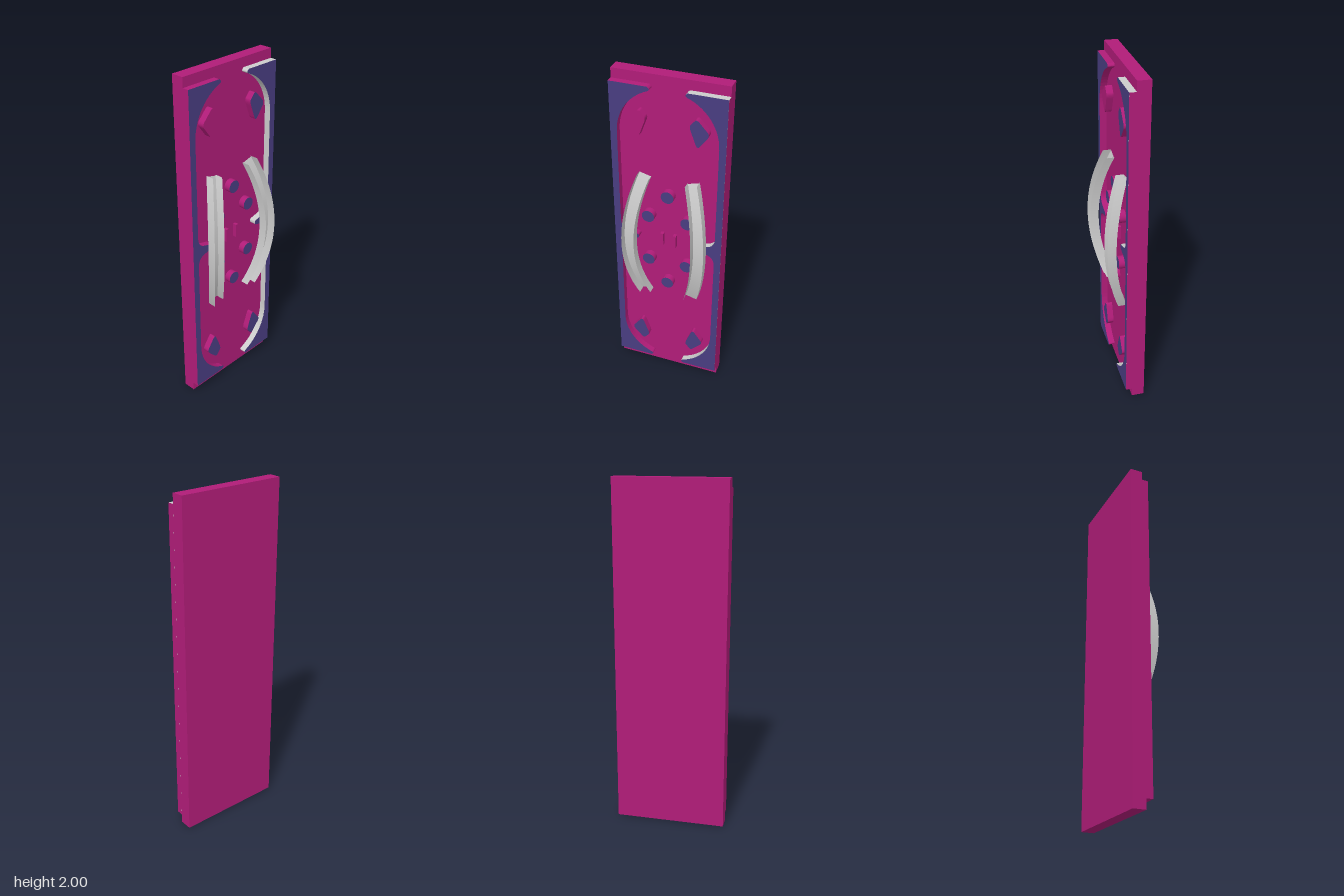
import * as THREE from 'three';

const magenta = new THREE.MeshStandardMaterial({ color: 0xb01c78 });
const purple = new THREE.MeshStandardMaterial({ color: 0x483d80 });
const grey = new THREE.MeshStandardMaterial({ color: 0xcccccc });
const greySheet = new THREE.MeshStandardMaterial({ color: 0xcccccc, side: THREE.DoubleSide });

const PLATE_Z = -0.028; // front of the base plate
const FACE_Z = 0.01;    // front of the raised parts
const MID_Y = 1;        // everything is mirrored about this height

function addMesh(parent, name, geometry, material, x = 0, y = 0, z = 0) {
  const mesh = new THREE.Mesh(geometry, material);
  mesh.name = name;
  mesh.position.set(x, y, z);
  parent.add(mesh);
  return mesh;
}

// Raised block standing on the plate, with its own face and wall colours
function addRaised(parent, name, points, face, wall, y = MID_Y) {
  const geometry = new THREE.ExtrudeGeometry(new THREE.Shape(points), {
    depth: FACE_Z - PLATE_Z, bevelEnabled: false,
  });
  return addMesh(parent, name, geometry, [face, wall], 0, y, PLATE_Z);
}

// Side frame outline, as its upper half mirrored downwards
function frameOutline(side) {
  const half = new THREE.Shape();
  half.moveTo(0.32, 0.945);
  half.lineTo(0.108, 0.945);
  half.quadraticCurveTo(0.085, 0.93, 0.108, 0.92);
  half.bezierCurveTo(0.2, 0.885, 0.282, 0.79, 0.282, 0.66);
  half.lineTo(0.282, 0.09);
  half.quadraticCurveTo(0.28, 0.045, 0.245, 0.03);
  half.lineTo(0.19, 0.016);
  half.quadraticCurveTo(0.174, 0.014, 0.174, 0.003);
  const upper = half.getPoints(14);
  const lower = upper.map((p) => new THREE.Vector2(p.x, -p.y)).reverse();
  return [...upper, ...lower].map((p) => new THREE.Vector2(side * p.x, p.y));
}

// Rounded four-cornered stud outline
function studOutline(sx, sy) {
  const corners = [[0.158, 0.812], [0.232, 0.732], [0.165, 0.64], [0.118, 0.765]]
    .map(([x, y]) => new THREE.Vector2(x, y));
  const shape = new THREE.Shape();
  corners.forEach((c, i) => {
    const before = c.clone().lerp(corners[(i + 3) % 4], 0.22);
    const after = c.clone().lerp(corners[(i + 1) % 4], 0.22);
    if (i === 0) shape.moveTo(before.x, before.y);
    else shape.lineTo(before.x, before.y);
    shape.quadraticCurveTo(c.x, c.y, after.x, after.y);
  });
  return shape.getPoints(6).map((p) => new THREE.Vector2(sx * p.x, sy * p.y));
}

// Bowed handle: a thin U-shaped channel, open to the front
function handleGeometry(side) {
  const rows = 32;
  const positions = [];
  const indices = [];
  const walls = [[0, 1], [0, 0], [1, 0], [1, 1]]; // across, forward
  // each of the three sheets has its own vertices, so its edges stay sharp
  for (let s = 0; s < 3; s++) {
    const base = positions.length / 3;
    for (let i = 0; i <= rows; i++) {
      const t = -1 + (2 * i) / rows;
      const bow = t * t;
      for (const [across, forward] of [walls[s], walls[s + 1]]) {
        const x = 0.17 - 0.066 * bow + across * (0.075 - 0.007 * bow);
        const y = t * (0.402 + 0.018 * across);
        const z = 0.1 - 0.08 * bow - (1 - forward) * 0.05;
        positions.push(side * x, y, z);
      }
      if (i === rows) continue;
      const a = base + i * 2;
      if (side > 0) indices.push(a, a + 1, a + 2, a + 1, a + 3, a + 2);
      else indices.push(a, a + 2, a + 1, a + 1, a + 2, a + 3);
    }
  }
  const geometry = new THREE.BufferGeometry();
  geometry.setAttribute('position', new THREE.Float32BufferAttribute(positions, 3));
  geometry.setIndex(indices);
  geometry.computeVertexNormals();
  return geometry;
}

export function createModel() {
  const model = new THREE.Group();
  model.name = 'panel';

  // Base plate
  addMesh(model, 'basePlate', new THREE.BoxGeometry(0.64, 2, 0.074), magenta, 0, MID_Y, PLATE_Z - 0.037);

  for (const side of [-1, 1]) {
    const label = side > 0 ? 'left' : 'right';

    // Side frame
    addRaised(model, label + 'Frame', frameOutline(side), purple, side > 0 ? grey : magenta);

    // Handle
    addMesh(model, label + 'Handle', handleGeometry(side), greySheet, 0, MID_Y, 0);

    // Corner studs, the upper right one with a plain face
    for (const end of [-1, 1]) {
      const face = side < 0 && end > 0 ? magenta : purple;
      addRaised(model, label + (end > 0 ? 'Upper' : 'Lower') + 'Stud', studOutline(side, end), face, magenta);
    }

    // Small centre bar
    addMesh(model, label + 'Bar', new THREE.BoxGeometry(0.018, 0.08, 0.023), magenta,
      side * 0.038, MID_Y, PLATE_Z + 0.0115);
  }

  // Outer skin of the left frame
  const skin = new THREE.PlaneGeometry(FACE_Z - PLATE_Z, 1.89).rotateY(Math.PI / 2);
  addMesh(model, 'leftFrameSkin', skin, magenta, 0.3203, MID_Y, (FACE_Z + PLATE_Z) / 2);

  // Ring of round pegs
  const pegs = [[0, 0.303], [0.115, 0.152], [0.115, -0.152], [0, -0.303], [-0.115, -0.152], [-0.115, 0.152]];
  const pegGeometry = new THREE.CylinderGeometry(0.037, 0.037, FACE_Z - PLATE_Z, 32).rotateX(Math.PI / 2);
  for (const [x, y] of pegs) {
    addMesh(model, 'peg', pegGeometry, [magenta, purple, magenta], x, MID_Y + y, (FACE_Z + PLATE_Z) / 2);
  }

  return model;
}
